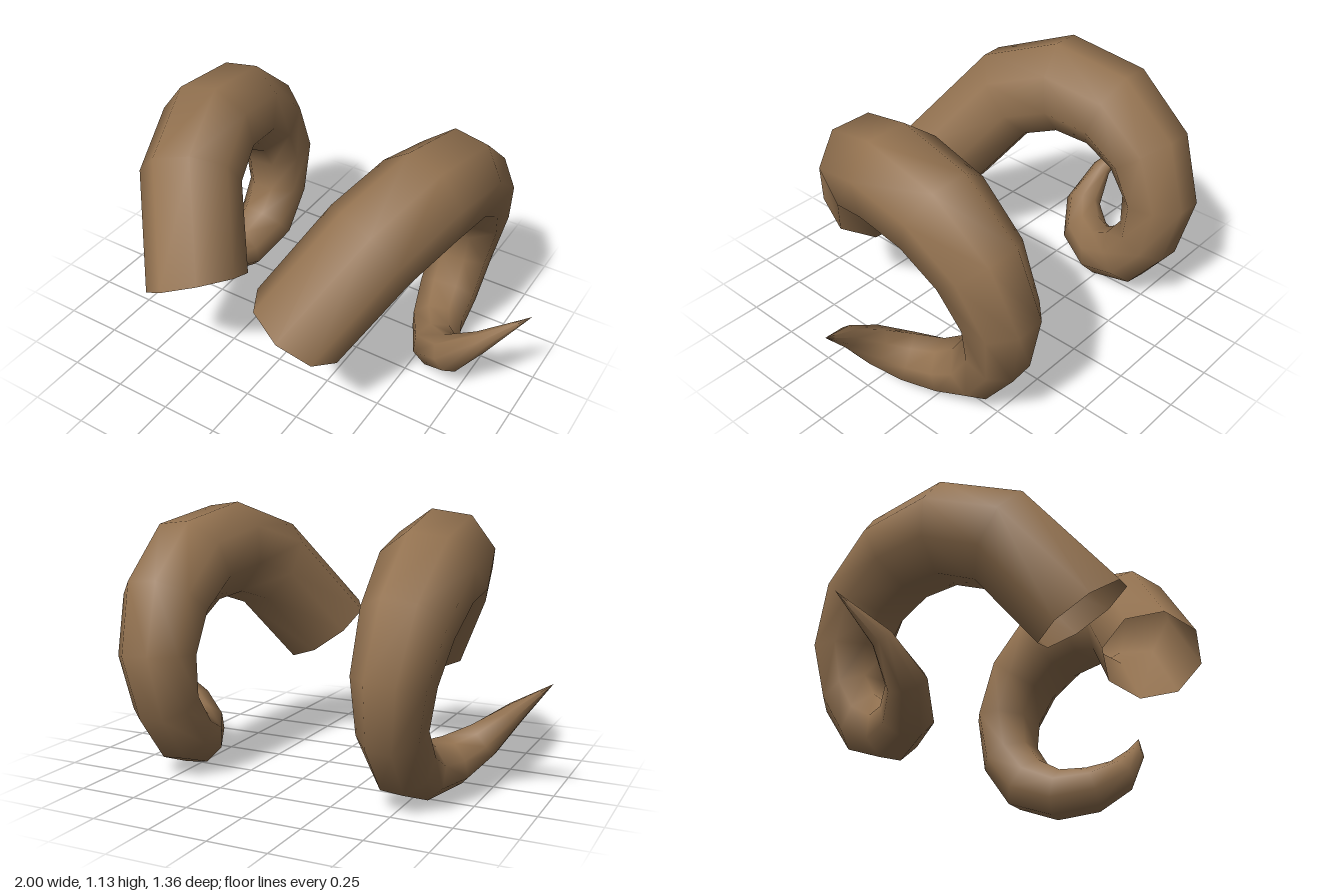
import * as THREE from 'three';

const SIDES = 8;

// Cross-sections of the +x horn from base to tip: centre x, y, z and radius
const RINGS = [
  [0.245, 0.51, 0.48, 0.213],
  [0.43, 0.84, 0.245, 0.213],
  [0.51, 0.93, 0.005, 0.213],
  [0.535, 0.895, -0.25, 0.203],
  [0.535, 0.75, -0.44, 0.184],
  [0.52, 0.545, -0.53, 0.162],
  [0.505, 0.34, -0.50, 0.138],
  [0.505, 0.19, -0.39, 0.134],
  [0.53, 0.117, -0.235, 0.117],
  [0.60, 0.13, -0.09, 0.106],
  [0.70, 0.205, 0.0, 0.082],
  [0.83, 0.335, -0.003, 0.045],
  [1.0, 0.49, -0.085, 0],
];

// Curled, tapering tube, open at the base; side is +1 or -1
function hornGeometry(side) {
  const centres = RINGS.map(([x, y, z]) => new THREE.Vector3(x, y, z));
  const last = RINGS.length - 1;
  const u = new THREE.Vector3(-0.185, 0.1, -0.005);
  const positions = [];
  const indices = [];

  centres.forEach((c, i) => {
    // Tangent halves the bend between the two neighbouring segments
    const t = new THREE.Vector3();
    if (i === 0) t.set(0.45, 0.82, -0.37);
    else {
      t.add(c.clone().sub(centres[i - 1]).normalize());
      if (i < last) t.add(centres[i + 1].clone().sub(c).normalize());
    }
    t.normalize();
    // Carry the ring's axis along without twist
    u.addScaledVector(t, -u.dot(t)).normalize();
    const v = t.clone().cross(u);
    for (let k = 0; k < SIDES; k++) {
      const a = (k / SIDES) * Math.PI * 2;
      const p = c.clone()
        .addScaledVector(u, Math.cos(a) * RINGS[i][3])
        .addScaledVector(v, Math.sin(a) * RINGS[i][3]);
      positions.push(p.x * side, p.y, p.z);
    }
  });

  const tri = (a, b, c) => indices.push(...(side > 0 ? [a, b, c] : [a, c, b]));
  for (let i = 0; i < last; i++) {
    for (let k = 0; k < SIDES; k++) {
      const a = i * SIDES + k;
      const b = i * SIDES + ((k + 1) % SIDES);
      tri(a, b, a + SIDES);
      if (i < last - 1) tri(b, b + SIDES, a + SIDES);
    }
  }

  const geometry = new THREE.BufferGeometry();
  geometry.setAttribute('position', new THREE.Float32BufferAttribute(positions, 3));
  geometry.setIndex(indices);
  geometry.computeVertexNormals();
  return geometry;
}

export function createModel() {
  const group = new THREE.Group();
  group.name = 'curledHorns';
  const horn = new THREE.MeshStandardMaterial({ color: 0x937250, side: THREE.DoubleSide });
  horn.name = 'hornBrown';

  for (const [name, side] of [['leftHorn', 1], ['rightHorn', -1]]) {
    const mesh = new THREE.Mesh(hornGeometry(side), horn);
    mesh.name = name;
    group.add(mesh);
  }
  return group;
}
